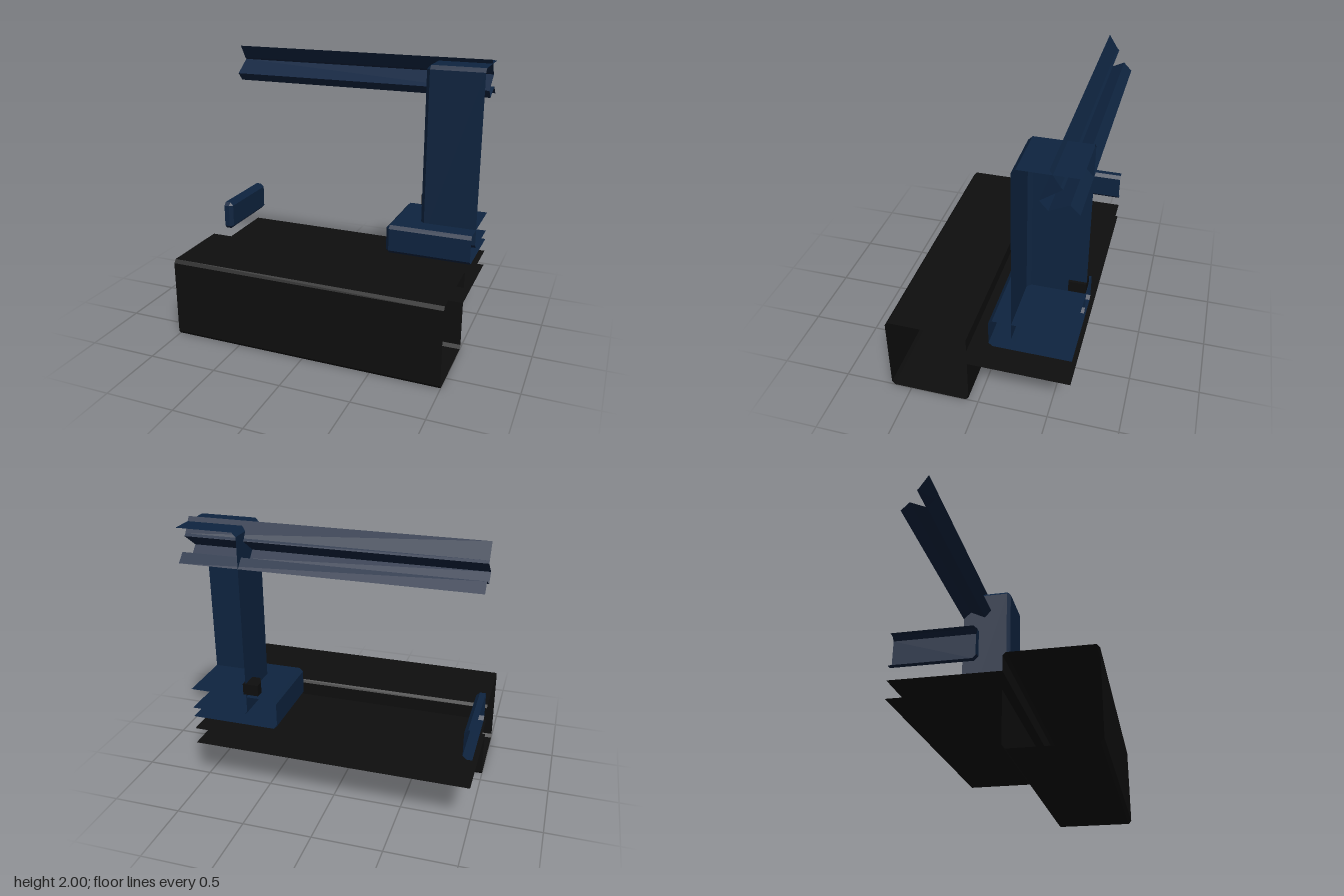
import * as THREE from 'three';

const BACK = -0.65; // plane where the rear of every part is cut open

const navy = new THREE.MeshStandardMaterial({ color: 0x0e2440, side: THREE.DoubleSide });
navy.name = 'navy';
const black = new THREE.MeshStandardMaterial({ color: 0x0e0e0e, side: THREE.DoubleSide });
black.name = 'black';

// Flat-shaded mesh from a list of convex polygons
function polyMesh(name, polys, material) {
  const pos = [];
  for (const p of polys) {
    for (let i = 1; i < p.length - 1; i++) pos.push(...p[0], ...p[i], ...p[i + 1]);
  }
  const geo = new THREE.BufferGeometry();
  geo.setAttribute('position', new THREE.Float32BufferAttribute(pos, 3));
  geo.computeVertexNormals();
  const mesh = new THREE.Mesh(geo, material);
  mesh.name = name;
  return mesh;
}

// Open sheet: a [z, y] profile swept across the full width
function sweep(name, profile, material) {
  const polys = [];
  for (let i = 0; i < profile.length - 1; i++) {
    const [z0, y0] = profile[i], [z1, y1] = profile[i + 1];
    polys.push([[-1, y0, z0], [-1, y1, z1], [1, y1, z1], [1, y0, z0]]);
  }
  return polyMesh(name, polys, material);
}

// Bevelled block cut open at its outer side (xEnd) and at the back
function cutBlock(name, xIn, xEnd, zFront, y0, y1, b, material) {
  const s = Math.sign(xEnd - xIn);
  const ring = (y, o) => [
    [xIn + s * o, y, BACK], [xIn + s * o, y, zFront - b],
    [xIn + s * b, y, zFront - o], [xEnd, y, zFront - o],
  ];
  const rings = [ring(y0, b), ring(y0 + b, 0), ring(y1 - b, 0), ring(y1, b)];
  const polys = [];
  for (let i = 0; i < 3; i++) {
    const lo = rings[i], up = rings[i + 1];
    for (let j = 0; j < 3; j++) polys.push([lo[j], lo[j + 1], up[j + 1], up[j]]);
  }
  polys.push([...rings[3], [xEnd, y1, BACK]]);
  polys.push([...rings[0], [xEnd, y0, BACK]].reverse());
  if (s < 0) polys.forEach((p) => p.reverse());
  return polyMesh(name, polys, material);
}

export function createModel() {
  const model = new THREE.Group();
  model.name = 'wallSection';

  // Front step with a lower slab behind it
  model.add(sweep('step', [
    [BACK, 0.48], [0.07, 0.48], [0.07, 0.58], [0.09, 0.6], [0.63, 0.6], [0.65, 0.575],
    [0.65, 0.025], [0.63, 0], [0.09, 0], [0.07, 0.025], [0.07, 0.36], [BACK, 0.36],
  ], black));

  // Pillar on its plinth, and the edge of the next plinth
  model.add(cutBlock('plinth', 0.36, 1, -0.09, 0.58, 0.8, 0.025, navy));
  model.add(cutBlock('pillar', 0.58, 1, -0.245, 0.65, 1.97, 0.028, navy));
  model.add(cutBlock('plinthEdge', -0.935, -1, -0.09, 0.58, 0.8, 0.025, navy));

  // Folded lintel beam
  model.add(sweep('lintel', [
    [-0.465, 2.0], [-0.53, 1.9], [-0.545, 1.885], [-0.41, 1.79],
    [-0.465, 1.73], [-0.59, 1.79], [BACK, 1.73],
  ], navy));

  // Small knob beside the pillar
  const outline = [[0.49, BACK], [0.49, -0.59], [0.52, -0.53], [0.6, -0.53], [0.6, BACK]];
  const at = (y) => outline.map(([x, z]) => [x, y, z]);
  const low = at(0.82), high = at(0.9);
  const sides = low.map((p, i) => {
    const j = (i + 1) % low.length;
    return [p, low[j], high[j], high[i]];
  });
  model.add(polyMesh('knob', [...sides, high, [...low].reverse()], black));

  return model;
}
